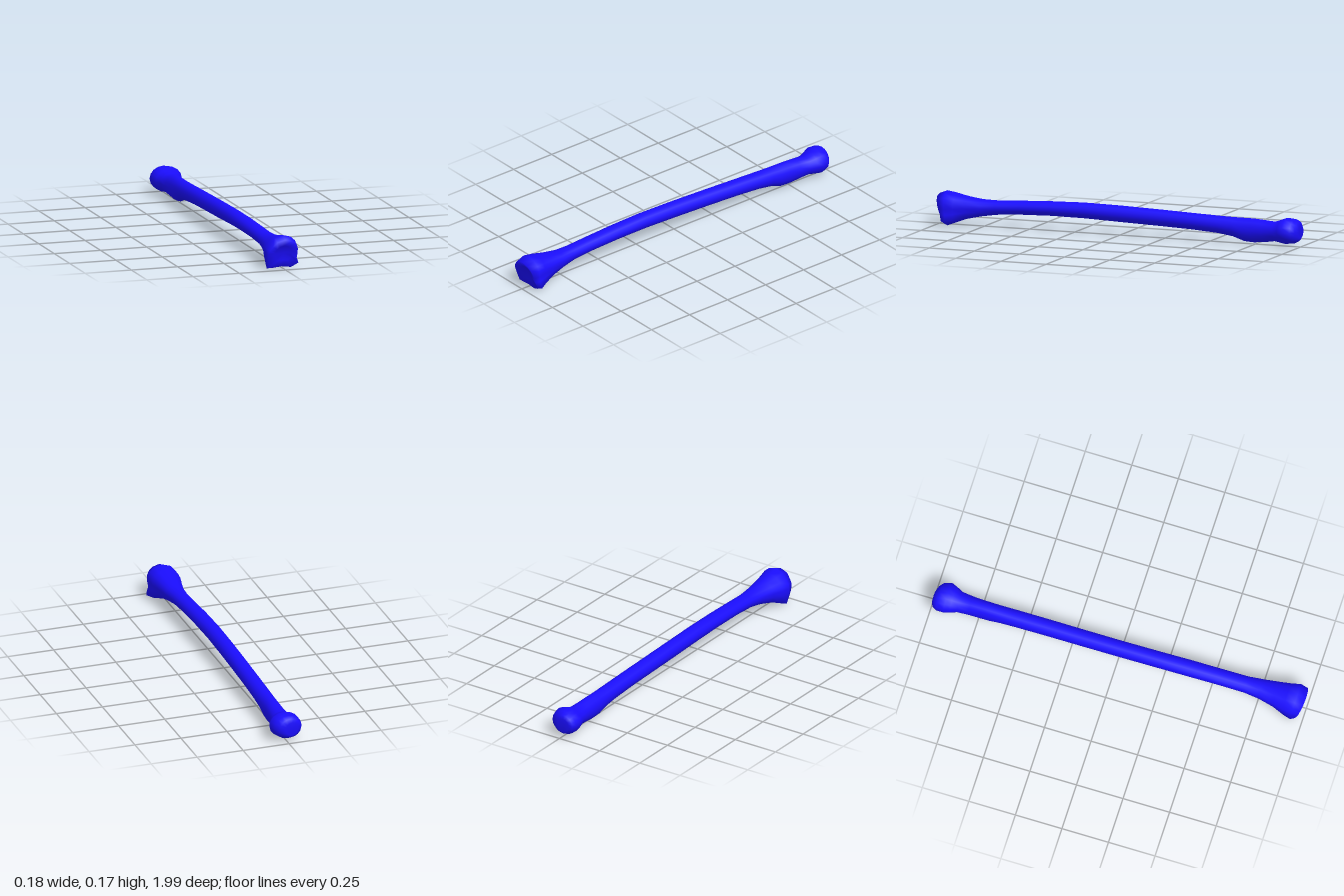
import * as THREE from 'three';

// Flared-end outline (x, y), anticlockwise seen from the front
const FLARE = [
  [0.08, 0.09], [0.078, 0.12], [0.066, 0.145], [0.042, 0.166],
  [0, 0.177], [-0.045, 0.163], [-0.07, 0.135], [-0.086, 0.112],
  [-0.091, 0.092], [-0.09, 0.06], [-0.081, 0.004], [-0.045, 0.005],
  [0, 0.01], [0.05, 0.003], [0.09, 0.024], [0.077, 0.058],
].map(([x, y]) => [x / 0.09, (y - 0.09) / 0.087]);
const SIDES = FLARE.length;

// Cross-sections: z, xMin, xMax, yMin, yMax, blend to flared outline, forward lean
const HEAD = [
  [-0.985, -0.02, -0.02, 0.08, 0.08, 0, 0],
  [-0.995, -0.052, 0.015, 0.045, 0.115, 0, 0],
  [-0.985, -0.07, 0.045, 0.03, 0.133, 0, 0],
  [-0.965, -0.08, 0.068, 0.019, 0.145, 0, 0],
  [-0.925, -0.081, 0.081, 0.015, 0.15, 0, 0],
  [-0.895, -0.07, 0.07, 0.02, 0.138, 0, 0],
  [-0.86, -0.056, 0.053, 0.025, 0.126, 0, 0],
];
const SHAFT = [
  [-0.8, -0.05, 0.045, 0.016, 0.131, 0, 0],
  [-0.74, -0.049, 0.042, 0.011, 0.135, 0, 0],
  [-0.69, -0.049, 0.04, 0.014, 0.135, 0, 0],
  [-0.63, -0.049, 0.038, 0.034, 0.135, 0, 0],
  [-0.55, -0.05, 0.037, 0.046, 0.137, 0, 0],
  [-0.4, -0.051, 0.035, 0.056, 0.142, 0, 0],
  [-0.2, -0.053, 0.032, 0.063, 0.149, 0, 0],
  [0, -0.054, 0.03, 0.069, 0.155, 0, 0],
  [0.2, -0.054, 0.031, 0.076, 0.158, 0, 0],
  [0.38, -0.052, 0.035, 0.078, 0.154, 0, 0],
  [0.55, -0.048, 0.038, 0.074, 0.147, 0, 0],
  [0.68, -0.046, 0.042, 0.066, 0.141, 0.1, 0],
];
const FLARED_END = [
  [0.76, -0.053, 0.053, 0.054, 0.143, 0.3, 0],
  [0.84, -0.069, 0.066, 0.037, 0.154, 0.6, 0],
  [0.9, -0.085, 0.078, 0.015, 0.167, 0.85, 0],
  [0.945, -0.09, 0.09, 0.003, 0.177, 1, 0.1],
  [0.977, -0.083, 0.082, 0.01, 0.16, 1, 0.3],
  // shallow dish in the joint face
  [0.968, -0.045, 0.045, 0.045, 0.125, 0.7, 0.25],
  [0.962, 0, 0, 0.085, 0.085, 0, 0],
];

// Joins the cross-sections into one smooth closed surface
function loft(sections) {
  const positions = [], index = [];
  sections.forEach(([z, x0, x1, y0, y1, blend, lean], i) => {
    const cx = (x0 + x1) / 2, cy = (y0 + y1) / 2;
    for (let j = 0; j < SIDES; j++) {
      const a = (j / SIDES) * Math.PI * 2;
      const u = THREE.MathUtils.lerp(Math.cos(a), FLARE[j][0], blend);
      const v = THREE.MathUtils.lerp(Math.sin(a), FLARE[j][1], blend);
      const dy = v * (y1 - y0) / 2;
      positions.push(cx + u * (x1 - x0) / 2, cy + dy, z + lean * dy);
      if (i === sections.length - 1) continue;
      const k = (j + 1) % SIDES, p = i * SIDES, q = p + SIDES;
      if (i > 0) index.push(p + j, p + k, q + k);
      else index.push(p, q + k, q + j);
      if (i > 0 && i < sections.length - 2) index.push(p + j, q + k, q + j);
      else if (i === sections.length - 2) index.splice(-3, 3, p + j, p + k, q);
    }
  });
  const geometry = new THREE.BufferGeometry();
  geometry.setAttribute('position', new THREE.Float32BufferAttribute(positions, 3));
  geometry.setIndex(index);
  geometry.computeVertexNormals();
  return geometry;
}

export function createModel() {
  const model = new THREE.Group();
  model.name = 'forearmBone';
  const material = new THREE.MeshStandardMaterial({ color: 0x1a0dff });
  // Rounded head, long bowed shaft and flared end form one continuous skin
  const bone = new THREE.Mesh(loft([...HEAD, ...SHAFT, ...FLARED_END]), material);
  bone.name = 'bone';
  model.add(bone);
  return model;
}
